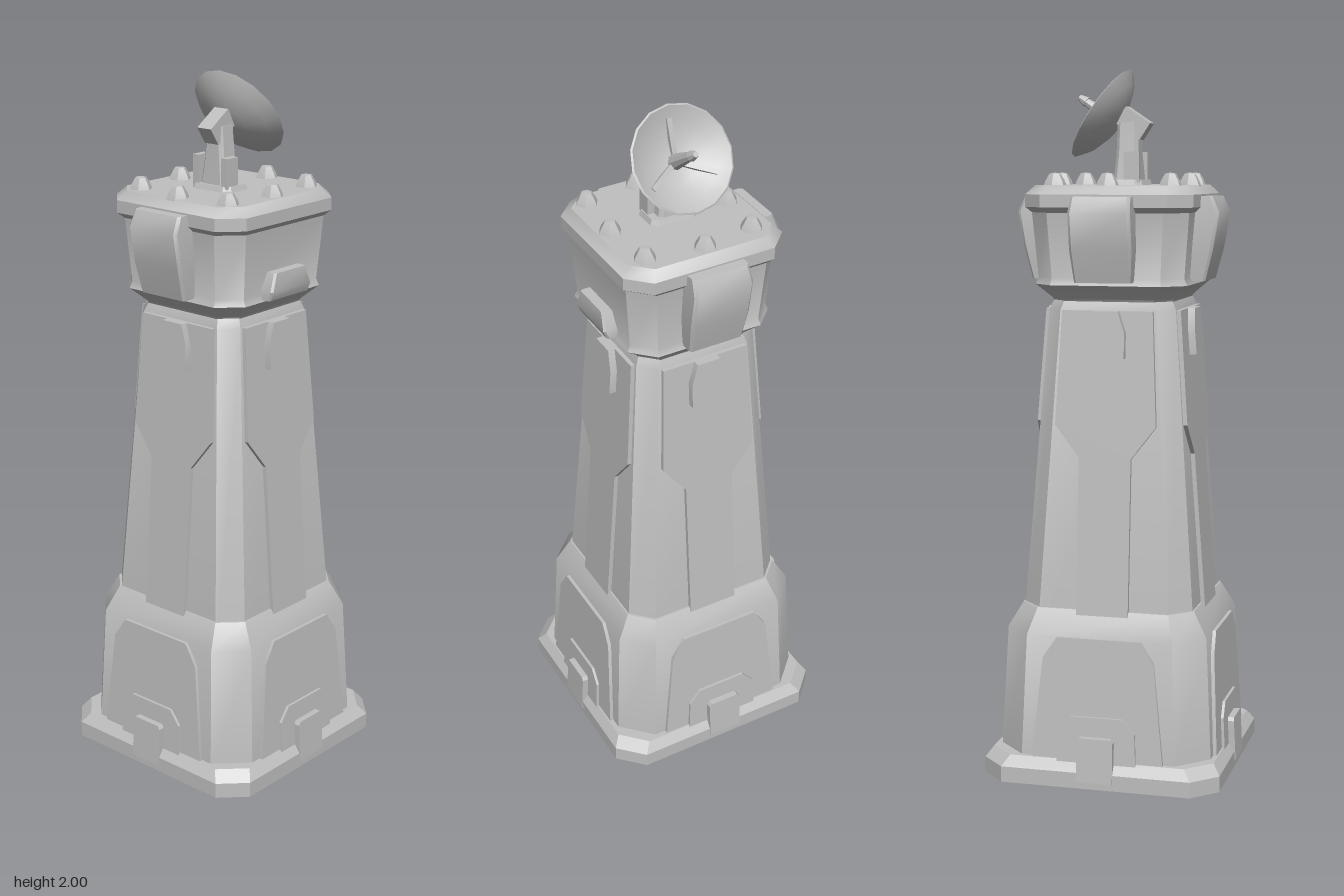
import * as THREE from 'three';
import { toCreasedNormals } from 'three/addons/utils/BufferGeometryUtils.js';

const grey = new THREE.MeshStandardMaterial({ color: 0xc0c0c0 });
grey.name = 'concrete grey';

function add(parent, name, geometry, x = 0, y = 0, z = 0, crease = 0.6) {
  const mesh = new THREE.Mesh(toCreasedNormals(geometry, crease), grey);
  mesh.name = name;
  mesh.position.set(x, y, z);
  parent.add(mesh);
  return mesh;
}

// Stack of chamfered rectangles: [y, halfX, halfZ, chamfer, centreZ]
function loft(sections) {
  const pos = [], idx = [];
  for (const [y, a, b, c, cz = 0] of sections) {
    const ring = [[a, -b + c], [a, b - c], [a - c, b], [c - a, b], [-a, b - c], [-a, c - b], [c - a, -b], [a - c, -b]];
    for (const [x, z] of ring) pos.push(x, y, z + cz);
  }
  const last = (sections.length - 1) * 8;
  for (let s = 0; s < last; s += 8) {
    for (let i = 0; i < 8; i++) {
      const a = s + i, b = s + (i + 1) % 8;
      idx.push(a, a + 8, b, b, a + 8, b + 8);
    }
  }
  for (let i = 1; i < 7; i++) {
    idx.push(0, i, i + 1, last, last + i + 1, last + i);
  }
  const g = new THREE.BufferGeometry();
  g.setAttribute('position', new THREE.Float32BufferAttribute(pos, 3));
  g.setIndex(idx);
  return g;
}
const square = (rows) => loft(rows.map(([y, h, c]) => [y, h, h, c]));

// Half width of the sloping shaft and of the plinth block at a height
const shaftAt = (y) => THREE.MathUtils.mapLinear(y, 0.42, 1.33, 0.25, 0.183);
const plinthAt = (y) => THREE.MathUtils.mapLinear(y, 0.07, 0.42, 0.308, 0.29);

// Mirrored raised panel laid on a sloping face; points are [x, y] of its +x edge going up
function panel(points, thickness, halfAt) {
  const left = points.map(([x, y]) => [-x, y]).reverse();
  const shape = new THREE.Shape([...points, ...left].map(([x, y]) => new THREE.Vector2(x, y)));
  const g = new THREE.ExtrudeGeometry(shape, { depth: thickness + 0.01, bevelEnabled: false });
  const p = g.attributes.position;
  for (let i = 0; i < p.count; i++) p.setZ(i, p.getZ(i) - 0.01 + halfAt(p.getY(i)));
  g.computeVertexNormals();
  return g;
}

export function createModel() {
  const model = new THREE.Group();
  model.name = 'watchtower';

  // Footing, plinth and shaft
  add(model, 'footing', square([[0, 0.343, 0.07], [0.045, 0.343, 0.07], [0.075, 0.322, 0.07]]));
  add(model, 'plinth', square([[0.06, 0.308, 0.085], [0.42, 0.29, 0.08], [0.49, 0.25, 0.06]]));
  add(model, 'shaft', square([[0.4, shaftAt(0.4), 0.06], [1.33, 0.183, 0.045], [1.37, 0.165, 0.04]]));

  // Details repeated on the four faces
  for (let k = 0; k < 4; k++) {
    const side = new THREE.Group();
    side.name = 'towerFace' + (k + 1);
    side.rotation.y = k * Math.PI / 2;
    model.add(side);
    add(side, 'facePanel', panel([[0.075, 0.44], [0.075, 0.92], [0.145, 1.01], [0.13, 1.33]], 0.012, shaftAt));
    add(side, 'plinthPanel', panel([[0.19, 0.07], [0.16, 0.36], [0.12, 0.42]], 0.01, plinthAt));
    add(side, 'doorSurround', panel([[0.115, 0.05], [0.11, 0.16], [0.075, 0.2]], 0.018, plinthAt));
    add(side, 'doorBlock', panel([[0.052, 0.02], [0.052, 0.135], [0.045, 0.145]], 0.036, plinthAt));
    add(side, 'lookout', panel([[0.055, 1.2], [0.055, 1.27], [0.035, 1.33]], 0.032, shaftAt));
  }

  // Head with collar and parapet rim
  add(model, 'head', square([
    [1.335, 0.165, 0.04], [1.36, 0.175, 0.045], [1.4, 0.218, 0.06], [1.42, 0.21, 0.055],
    [1.6, 0.225, 0.06], [1.615, 0.24, 0.06], [1.65, 0.24, 0.06], [1.675, 0.215, 0.05],
  ]));

  // Armoured boxes on the head: two sides and the back
  for (const [name, turn] of [['leftBox', Math.PI / 2], ['backBox', Math.PI], ['rightBox', -Math.PI / 2]]) {
    const box = add(model, name, loft([
      [1.41, 0.08, 0.035, 0.006, 0.217], [1.5, 0.088, 0.045, 0.008, 0.23],
      [1.6, 0.088, 0.05, 0.008, 0.242], [1.645, 0.084, 0.04, 0.008, 0.232],
    ]));
    box.rotation.y = turn;
  }
  add(model, 'frontSill', loft([
    [1.405, 0.085, 0.03, 0.006, 0.21], [1.43, 0.085, 0.03, 0.006, 0.22], [1.48, 0.065, 0.03, 0.006, 0.215],
  ]));

  // Roof studs
  const studs = [[-0.17, -0.155], [0.005, -0.17], [0.16, -0.155], [-0.19, 0.003],
    [0.185, 0], [-0.17, 0.165], [-0.005, 0.18], [0.16, 0.165]];
  for (const [x, z] of studs) {
    const profile = [[0.036, 0], [0.028, 0.022], [0.016, 0.042], [0, 0.045]].map(([r, y]) => new THREE.Vector2(r, y));
    add(model, 'roofStud', new THREE.LatheGeometry(profile, 6), x, 1.665, z);
  }

  // Antenna pedestal
  const mast = new THREE.Group();
  mast.name = 'antennaMount';
  mast.position.x = -0.015;
  model.add(mast);
  add(mast, 'mountFoot', loft([[1.665, 0.055, 0.075, 0.02], [1.69, 0.045, 0.066, 0.015]]));
  add(mast, 'post', loft([[1.68, 0.038, 0.045, 0.01], [1.76, 0.032, 0.035, 0.01], [1.85, 0.03, 0.028, 0.01]]));
  for (const s of [-1, 1]) {
    add(mast, 'mountArm', new THREE.BoxGeometry(0.045, 0.085, 0.022), -0.02, 1.725, s * 0.052);
  }
  const housing = add(mast, 'motorHousing', new THREE.BoxGeometry(0.085, 0.055, 0.05), -0.015, 1.848, 0);
  housing.rotation.z = 0.59;

  // Dish facing the left and tilted upward
  const dish = new THREE.Group();
  dish.name = 'dish';
  dish.position.set(0.018, 1.845, 0);
  dish.rotation.z = -0.977;
  model.add(dish);
  const bowl = [[0, -0.004], [0.06, 0.006], [0.115, 0.029], [0.147, 0.055], [0.142, 0.058],
    [0.11, 0.036], [0.06, 0.015], [0, 0.006]].map(([r, y]) => new THREE.Vector2(r, y));
  add(dish, 'bowl', new THREE.LatheGeometry(bowl, 16));
  add(dish, 'feedHorn', new THREE.CylinderGeometry(0.011, 0.023, 0.115, 8), 0, 0.06, 0);
  add(dish, 'feedTip', new THREE.CylinderGeometry(0.008, 0.015, 0.025, 8), 0, 0.125, 0);

  // Ribs fanning out inside the bowl
  for (let i = 0; i < 3; i++) {
    const pivot = new THREE.Group();
    pivot.name = 'ribPivot';
    pivot.rotation.y = i * Math.PI * 2 / 3 + Math.PI;
    dish.add(pivot);
    const rib = add(pivot, 'rib', new THREE.BoxGeometry(0.11, 0.014, 0.014), 0.06, 0.023, 0);
    rib.rotation.z = 0.26;
  }
  return model;
}
